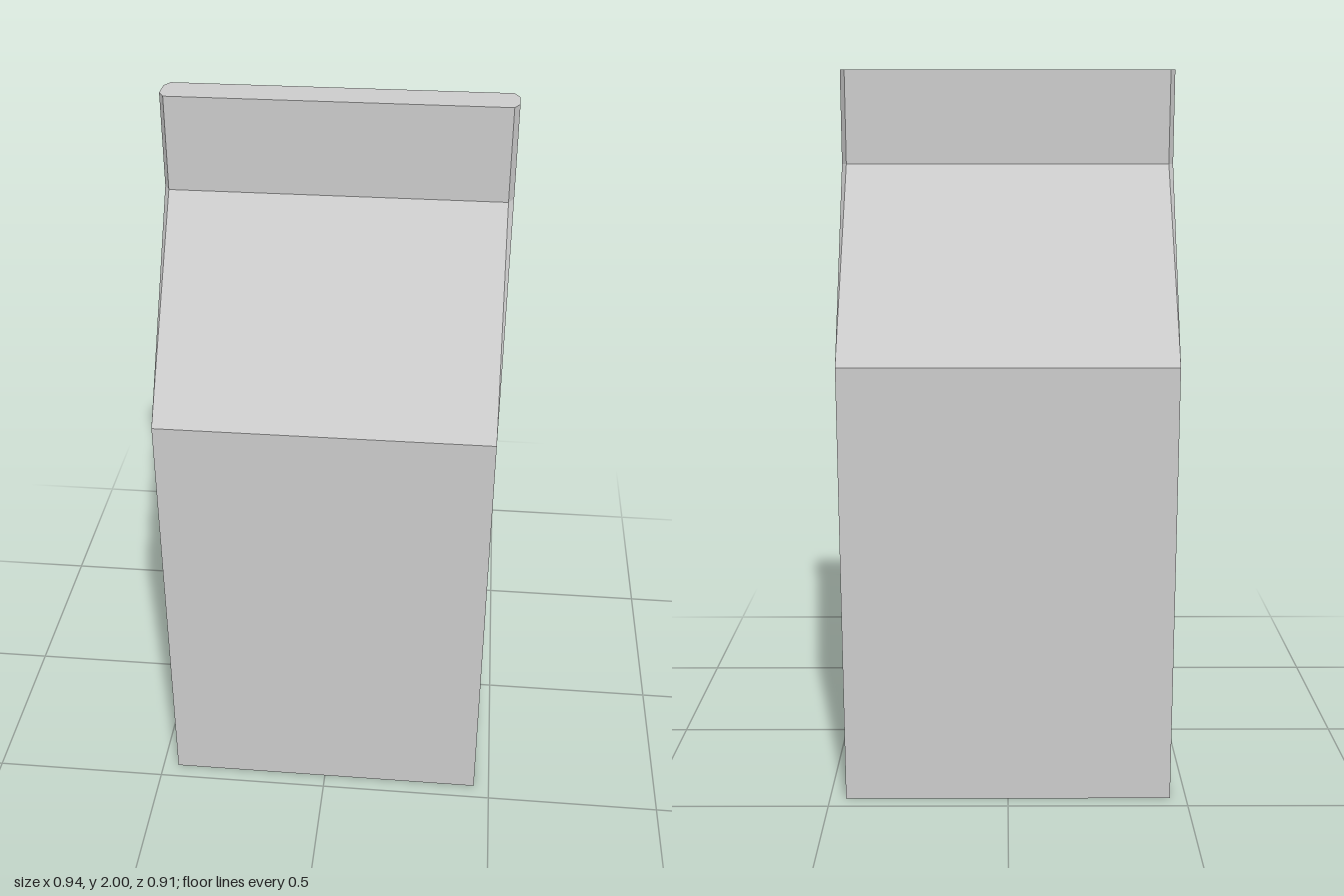
import * as THREE from 'three';

const HALF = 0.455;   // half width of the carton
const BULGE = 0.47;   // half width where the folded sides swell out

// Eight-point cross-section: four corners plus two fold points on each x side
function ring(y, depth, foldX, foldZ) {
  const quarter = [[HALF, depth], [foldX, foldZ], [foldX, -foldZ], [HALF, -depth]];
  return [...quarter, ...quarter.map(([x, z]) => [-x, -z])]
    .map(([x, z]) => new THREE.Vector3(x, y, z));
}

// Walls between two cross-sections, with optional end caps
function section(name, lower, upper, { bottom = false, top = false } = {}) {
  const points = [];
  const n = lower.length;
  for (let i = 0; i < n; i++) {
    const j = (i + 1) % n;
    const a = lower[i], b = lower[j], c = upper[j], d = upper[i];
    // creases run from the lower corners to the upper fold points
    if (i % 4 === 2) points.push(a, b, d, b, c, d);
    else points.push(a, b, c, a, c, d);
  }
  for (let i = 1; i < n - 1; i++) {
    if (top) points.push(upper[0], upper[i], upper[i + 1]);
    if (bottom) points.push(lower[0], lower[i + 1], lower[i]);
  }
  const geometry = new THREE.BufferGeometry().setFromPoints(points);
  geometry.computeVertexNormals();
  const mesh = new THREE.Mesh(geometry,
    new THREE.MeshStandardMaterial({ color: 0xcccccc, flatShading: true }));
  mesh.name = name;
  return mesh;
}

export function createModel() {
  const group = new THREE.Group();
  group.name = 'carton';

  const base = ring(0, HALF, HALF, HALF / 2);
  const shoulder = ring(1.23, HALF, HALF, HALF / 2);
  const neck = ring(1.74, 0.055, BULGE, 0.028);
  const tip = ring(2, 0.055, BULGE, 0.028);

  group.add(
    section('body', base, shoulder, { bottom: true }),
    section('gable', shoulder, neck),
    section('topSeal', neck, tip, { top: true }),
  );
  return group;
}
